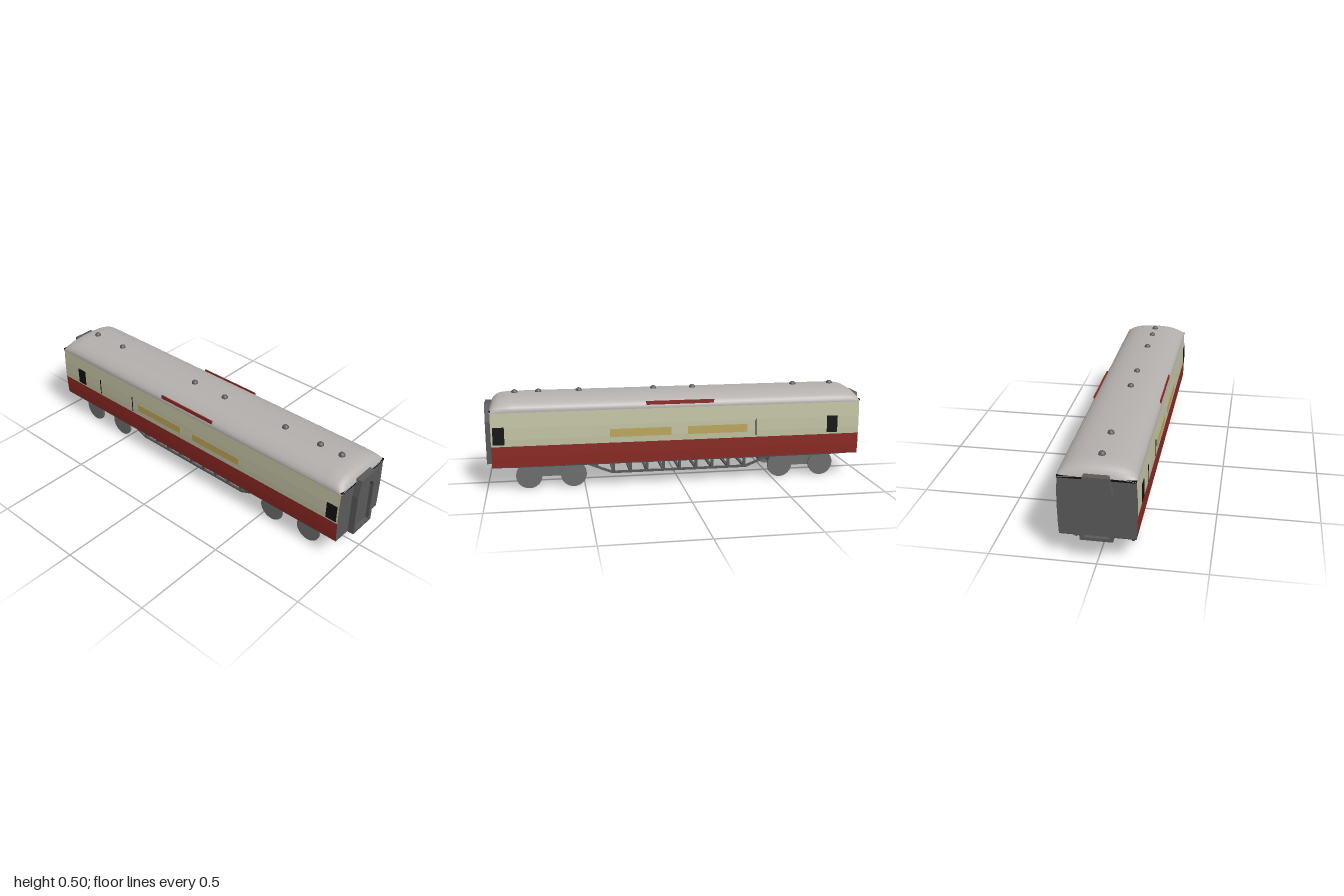
import * as THREE from 'three';

const mat = (color) => new THREE.MeshStandardMaterial({ color });
const CREAM = mat(0xc4c5a6), RED = mat(0x8e2a24), ROOF = mat(0xb4b0ae), DARK = mat(0x5a5a5a);
const FRAME = mat(0x4a4a4a), WHEEL = mat(0x6e6e6e), GOLD = mat(0xbfa85e), BLACK = mat(0x111111);
ROOF.side = THREE.DoubleSide;

const HALF = 0.968; // half length of the body

function add(parent, name, geometry, material, x = 0, y = 0, z = 0) {
  const mesh = new THREE.Mesh(geometry, material);
  mesh.name = name;
  mesh.position.set(x, y, z);
  parent.add(mesh);
  return mesh;
}

const box = (parent, name, material, w, h, d, x, y, z) =>
  add(parent, name, new THREE.BoxGeometry(w, h, d), material, x, y, z);

// Closed, mirrored cross-section from right-hand points listed bottom to top
function mirroredShape(points) {
  const right = points.map(([x, y]) => new THREE.Vector2(x, y));
  const left = points.map(([x, y]) => new THREE.Vector2(-x, y)).reverse();
  return new THREE.Shape([...right, ...left]);
}

// Length of body side with dark end faces
function bodyBand(parent, name, points, material) {
  const geometry = new THREE.ExtrudeGeometry(mirroredShape(points), { depth: HALF * 2, bevelEnabled: false });
  add(parent, name, geometry, [DARK, material], 0, 0, -HALF);
}

// Arched roof lofted along z, flattening into a dome at both ends
function roofGeometry() {
  const half = [[0.178, 0.408], [0.178, 0.42], [0.172, 0.432], [0.16, 0.444], [0.14, 0.456],
    [0.115, 0.466], [0.085, 0.473], [0.045, 0.477]];
  const profile = [...half.map(([x, y]) => [-x, y]), [0, 0.479], ...half.slice().reverse()];
  const ends = [[0.972, 0.17], [0.965, 0.45], [0.95, 0.72], [0.925, 0.92], [0.87, 1]];
  const stations = [...ends.map(([z, f]) => [-z, f]), ...ends.slice().reverse()];
  const positions = [], index = [], n = profile.length;
  stations.forEach(([z, f], i) => {
    profile.forEach(([x, y], j) => {
      positions.push(x, 0.408 + (y - 0.408) * f, z);
      if (i && j) {
        const a = (i - 1) * n + j - 1, b = a + 1, c = a + n, d = c + 1;
        index.push(a, c, b, b, c, d);
      }
    });
  });
  const geometry = new THREE.BufferGeometry();
  geometry.setAttribute('position', new THREE.Float32BufferAttribute(positions, 3));
  geometry.setIndex(index);
  geometry.computeVertexNormals();
  return geometry;
}

// Gangway connection with an arched, recessed door
function gangway(parent, end) {
  const group = new THREE.Group();
  group.name = 'gangway';
  const frame = mirroredShape([[0.075, 0.12], [0.075, 0.345], [0.057, 0.435]]);
  const arch = new THREE.Path();
  arch.moveTo(-0.055, 0.135);
  arch.lineTo(-0.055, 0.345);
  arch.bezierCurveTo(-0.05, 0.378, -0.03, 0.392, 0, 0.392);
  arch.bezierCurveTo(0.03, 0.392, 0.05, 0.378, 0.055, 0.345);
  arch.lineTo(0.055, 0.135);
  frame.holes.push(arch);
  add(group, 'gangwayFrame', new THREE.ExtrudeGeometry(frame, { depth: 0.035, bevelEnabled: false }), DARK, 0, 0, 0.965);
  box(group, 'gangwayDoor', DARK, 0.116, 0.27, 0.015, 0, 0.263, 0.974);
  box(group, 'roofEndStrip', BLACK, 0.352, 0.012, 0.008, 0, 0.414, 0.967);
  group.rotation.y = end > 0 ? 0 : Math.PI;
  parent.add(group);
}

// Two-axle bogie
function bogie(parent, z) {
  const group = new THREE.Group();
  group.name = 'bogie';
  group.position.z = z;
  box(group, 'bogieFrame', WHEEL, 0.14, 0.053, 0.27, 0, 0.067, 0);
  box(group, 'bogiePivot', FRAME, 0.08, 0.024, 0.075, 0, 0.102, 0);
  const wheel = new THREE.CylinderGeometry(0.067, 0.067, 0.01, 32).rotateZ(Math.PI / 2);
  const axle = new THREE.CylinderGeometry(0.007, 0.007, 0.27, 12).rotateZ(Math.PI / 2);
  for (const dz of [-0.114, 0.114]) {
    add(group, 'axle', axle, FRAME, 0, 0.068, dz);
    for (const x of [-0.135, 0.135]) add(group, 'wheel', wheel, WHEEL, x, 0.067, dz);
  }
  parent.add(group);
}

// Truss side: bottom bar that rises to the frame at both ends
function trussGeometry() {
  const outer = [[-0.53, 0.118], [-0.5, 0.118], [-0.36, 0.06], [0.36, 0.06], [0.5, 0.118], [0.53, 0.118]];
  const inner = [[0.53, 0.127], [0.5, 0.127], [0.355, 0.071], [-0.355, 0.071], [-0.5, 0.127], [-0.53, 0.127]];
  const shape = new THREE.Shape([...outer, ...inner].map(([z, y]) => new THREE.Vector2(z, y)));
  return new THREE.ExtrudeGeometry(shape, { depth: 0.012, bevelEnabled: false })
    .translate(0, 0, -0.006).rotateY(Math.PI / 2);
}

export function createModel() {
  const model = new THREE.Group();
  model.name = 'railwayCoach';

  // Body and roof
  bodyBand(model, 'lowerBody', [[0.175, 0.127], [0.178, 0.18], [0.179, 0.235]], RED);
  bodyBand(model, 'upperBody', [[0.179, 0.235], [0.18, 0.27], [0.179, 0.33], [0.175, 0.41]], CREAM);
  add(model, 'roof', roofGeometry(), ROOF);
  const vent = new THREE.SphereGeometry(0.017, 20, 12);
  for (const z of [-0.86, -0.65, -0.09, 0.12, 0.515, 0.725, 0.847]) add(model, 'roofVent', vent, DARK, -0.005, 0.478, z);

  // Side details
  for (const s of [-1, 1]) {
    box(model, 'roofBoard', RED, 0.006, 0.036, 0.355, s * 0.172, 0.427, 0.003);
    for (const z of [0.93, -0.82]) box(model, 'doorWindow', BLACK, 0.006, 0.09, 0.058, s * 0.1785, 0.29, z);
    for (const z of [0.21, -0.195]) box(model, 'sidePanel', GOLD, 0.006, 0.042, 0.318, s * 0.178, 0.286, z);
  }
  for (const [x, z] of [[-0.179, -0.66], [-0.179, -0.4], [0.179, -0.4]])
    box(model, 'handrail', BLACK, 0.006, 0.09, 0.004, x, 0.29, z);

  for (const end of [-1, 1]) gangway(model, end);

  // Underframe
  box(model, 'floorPlate', FRAME, 0.348, 0.004, HALF * 2, 0, 0.1255, 0);
  box(model, 'underframe', FRAME, 0.28, 0.014, 1.76, 0, 0.119, 0);
  const truss = trussGeometry();
  for (const x of [-0.134, 0.134]) add(model, 'truss', truss, DARK, x);
  for (let i = -5; i <= 5; i++) {
    const z = i * 0.0875;
    const bottom = Math.abs(i) === 5 ? 0.095 : 0.062;
    for (const x of [-0.134, 0.134])
      box(model, 'trussPost', DARK, 0.011, 0.122 - bottom, 0.014, x, (0.122 + bottom) / 2, z);
    box(model, 'crossBar', DARK, 0.262, 0.01, 0.014, 0, bottom + 0.005, z);
  }

  bogie(model, 0.672);
  bogie(model, -0.66);
  return model;
}
